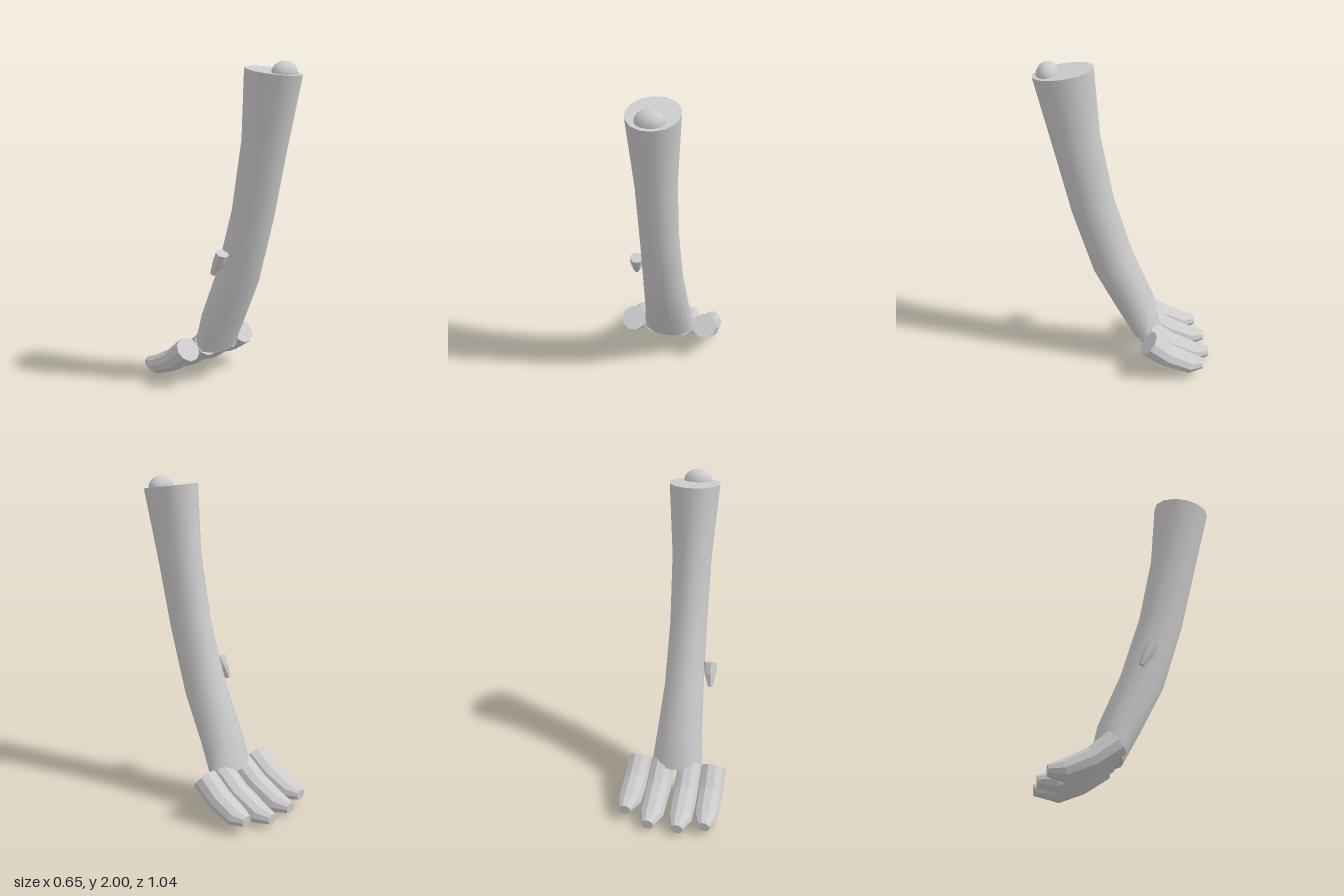
import * as THREE from 'three';
import { toCreasedNormals } from 'three/addons/utils/BufferGeometryUtils.js';

// Loft through rings given as [x, halfWidth, zA, yA, zB, yB]; A and B are the
// two opposite edges of the ring in side profile. Both ends are capped.
function loft(rings, sides, crease) {
  const pos = [], index = [];
  let peak = 0;
  for (let j = 0; j < sides; j++) peak = Math.max(peak, Math.sin((j / sides) * Math.PI * 2));
  const addRing = ([x, w, zA, yA, zB, yB]) => {
    const start = pos.length / 3;
    for (let j = 0; j < sides; j++) {
      const a = (j / sides) * Math.PI * 2;
      const s = Math.sin(a) / peak / 2;
      pos.push(x + w * Math.cos(a), (yA + yB) / 2 + (yB - yA) * s, (zA + zB) / 2 + (zB - zA) * s);
    }
    return start;
  };
  const starts = rings.map(addRing);
  for (let i = 0; i < starts.length - 1; i++) {
    for (let j = 0; j < sides; j++) {
      const k = (j + 1) % sides;
      const a = starts[i] + j, b = starts[i] + k, c = starts[i + 1] + j, d = starts[i + 1] + k;
      index.push(a, c, b, b, c, d);
    }
  }
  const first = addRing(rings[0]), last = addRing(rings[rings.length - 1]);
  for (let j = 1; j < sides - 1; j++) {
    index.push(first, first + j, first + j + 1);
    index.push(last, last + j + 1, last + j);
  }
  const g = new THREE.BufferGeometry();
  g.setAttribute('position', new THREE.Float32BufferAttribute(pos, 3));
  g.setIndex(index);
  return toCreasedNormals(g, crease);
}

export function createModel() {
  const group = new THREE.Group();
  const grey = new THREE.MeshStandardMaterial({ color: 0xcccccc });
  grey.name = 'light grey';
  const add = (name, geometry) => {
    const mesh = new THREE.Mesh(geometry, grey);
    mesh.name = name;
    group.add(mesh);
    return mesh;
  };

  // Curved leg, widest at the top and at the paw
  add('leg', loft([
    [0, 0.15, 0.52, 1.92, 0.18, 1.967],
    [0, 0.12, 0.415, 1.47, 0.15, 1.56],
    [0, 0.115, 0.325, 1.08, 0.07, 1.14],
    [0, 0.125, 0.2, 0.67, -0.045, 0.76],
    [0, 0.145, 0.075, 0.42, -0.18, 0.43],
    [0, 0.163, -0.04, 0.2, -0.215, 0.26],
  ], 14, 0.7));

  // Rounded joint on top of the leg
  const joint = add('joint', new THREE.SphereGeometry(1, 12, 8));
  joint.scale.set(0.086, 0.07, 0.067);
  joint.position.set(0, 1.93, 0.433);

  // Toes: start x, tip x, length factor
  const toes = [
    ['rightOuterToe', -0.238, -0.252, 0.91],
    ['rightInnerToe', -0.088, -0.092, 1],
    ['leftInnerToe', 0.088, 0.092, 1],
    ['leftOuterToe', 0.238, 0.255, 0.84],
  ];
  // Toe profile: halfWidth, bottom z, bottom y, top z, top y
  const profile = [
    [0.08, -0.07, 0.19, -0.167, 0.307],
    [0.08, -0.235, 0.075, -0.29, 0.2],
    [0.074, -0.41, 0.003, -0.445, 0.115],
    [0.038, -0.522, 0.025, -0.525, 0.088],
  ];
  const c0 = { z: -0.118, y: 0.248 };
  for (const [name, x0, x1, f] of toes) {
    const rings = profile.map(([w, zA, yA, zB, yB], i) => {
      // Shorten the path of the toe but keep its thickness
      const dz = ((zA + zB) / 2 - c0.z) * (f - 1), dy = ((yA + yB) / 2 - c0.y) * (f - 1);
      return [x0 + ((x1 - x0) * i) / 3, w, zA + dz, yA + dy, zB + dz, yB + dy];
    });
    add(name, loft(rings, 10, 0.1));
  }

  // Small dew claw on the inner side of the leg
  add('dewClaw', loft([
    [-0.16, 0.043, 0.14, 0.868, 0.07, 0.9],
    [-0.165, 0.036, 0.115, 0.815, 0.04, 0.835],
    [-0.175, 0.016, 0.055, 0.742, 0.022, 0.757],
  ], 7, 0.1));

  return group;
}
